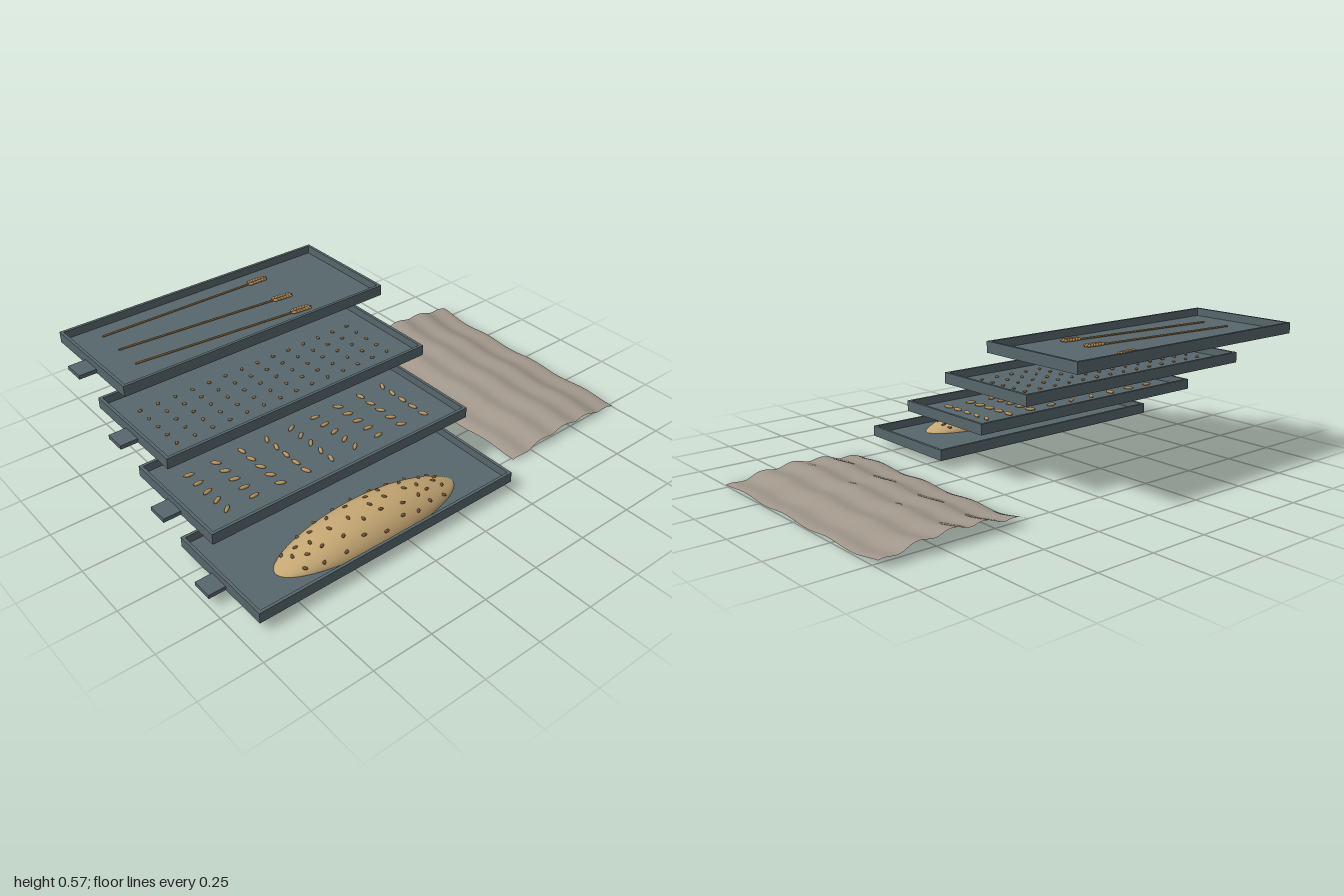
import * as THREE from 'three';

const mat = (name, color, side = THREE.FrontSide) => {
  const m = new THREE.MeshStandardMaterial({ color, side });
  m.name = name;
  return m;
};

export function createModel() {
  const root = new THREE.Group();
  root.name = 'stackedTrays';
  const slate = mat('slate', 0x57676b);
  const crust = mat('crust', 0xc4a672, THREE.DoubleSide);
  const seedBrown = mat('seedBrown', 0x6e5230);
  const grainTan = mat('grainTan', 0xb9935a);
  const straw = mat('straw', 0x8f6f3f);
  const linen = mat('linen', 0xa0968a, THREE.DoubleSide);

  const add = (parent, name, geo, m, x = 0, y = 0, z = 0) => {
    const mesh = new THREE.Mesh(geo, m);
    mesh.name = name;
    mesh.position.set(x, y, z);
    parent.add(mesh);
    return mesh;
  };
  let seed = 7;
  const rand = () => (seed = (seed * 16807) % 2147483647) / 2147483647;

  // Trays: floor, four walls and a pull tab
  const W = 1.18, D = 0.485, H = 0.044, T = 0.012;
  const trays = [];
  for (let i = 0; i < 4; i++) {
    const tray = new THREE.Group();
    tray.name = 'tray' + (i + 1);
    tray.position.set(-0.34, 0.046 + i * 0.163, 0.391 - i * 0.2605);
    add(tray, 'floor', new THREE.BoxGeometry(W, T, D), slate, 0, T / 2, 0);
    for (const s of [-1, 1]) {
      add(tray, 'longWall', new THREE.BoxGeometry(W, H, T), slate, 0, H / 2, s * (D - T) / 2);
      add(tray, 'endWall', new THREE.BoxGeometry(T, H, D - 2 * T), slate, s * (W - T) / 2, H / 2, 0);
    }
    add(tray, 'tab', new THREE.BoxGeometry(0.07, 0.016, 0.085), slate, -W / 2 - 0.035, 0.01, 0);
    root.add(tray);
    trays.push(tray);
  }

  // Loaf: domed grid with an elliptical outline
  const LX = 0.415, LZ = 0.125, LH = 0.093;
  const loafPoint = (u, v) => new THREE.Vector3(
    LX * u,
    LH * Math.pow(Math.max(0, 1 - u * u), 0.9) * Math.pow(Math.max(0, 1 - v * v), 0.6),
    LZ * v * Math.sqrt(Math.max(0, 1 - u * u)));
  const loaf = new THREE.Group();
  loaf.name = 'loaf';
  loaf.position.set(-0.005, T, 0.096);
  trays[0].add(loaf);
  const dome = new THREE.PlaneGeometry(2, 2, 48, 28);
  dome.rotateX(-Math.PI / 2);
  const dp = dome.attributes.position;
  for (let i = 0; i < dp.count; i++) {
    const p = loafPoint(Math.sin(dp.getX(i) * Math.PI / 2), Math.sin(dp.getZ(i) * Math.PI / 2));
    dp.setXYZ(i, p.x, p.y, p.z);
  }
  dome.computeVertexNormals();
  add(loaf, 'crust', dome, crust);

  // Seeds scattered over the loaf
  const crumb = new THREE.SphereGeometry(1, 8, 6);
  for (let r = 0; r < 5; r++) {
    for (let c = 0; c < 9; c++) {
      const u = -0.82 + c * 0.2 + (r % 2) * 0.07 + (rand() - 0.5) * 0.08;
      const v = -0.8 + r * 0.4 + (rand() - 0.5) * 0.16;
      const p = loafPoint(u, v);
      const s = add(loaf, 'loafSeed', crumb, seedBrown, p.x, p.y + 0.001, p.z);
      s.scale.set(0.011, 0.0055, 0.0065);
      s.rotation.y = rand() * Math.PI;
    }
  }

  // Large grains laid out in rows on the second tray
  for (let r = 0; r < 5; r++) {
    for (let c = 0; c < 9; c++) {
      const g = add(trays[1], 'grain', crumb, grainTan, -0.46 + c * 0.115, T + 0.006, -0.112 + r * 0.0615);
      g.scale.set(0.022, 0.007, 0.008);
      g.rotation.y = 0.25 - c * 0.62 + (r - 2) * 0.22;
    }
  }

  // Small seeds laid out in rows on the third tray
  for (let r = 0; r < 5; r++) {
    for (let c = 0; c < 14; c++) {
      const g = add(trays[2], 'smallSeed', crumb, straw, -0.495 + c * 0.075, T + 0.004, -0.107 + r * 0.064);
      g.scale.set(0.009, 0.005, 0.006);
      g.rotation.y = c * 0.7 + r;
    }
  }

  // Stalks with seeded heads on the top tray
  const stalks = [[-0.154, -0.15], [-0.03, 0.032], [0.095, 0.16]];
  for (const [z0, z1] of stalks) {
    const stalk = new THREE.Group();
    stalk.name = 'stalk';
    const dx = 0.75;
    stalk.position.set(-0.46, T + 0.004, z0);
    stalk.rotation.y = -Math.atan2(z1 - z0, dx);
    const stem = new THREE.CylinderGeometry(0.004, 0.004, 0.71, 6);
    stem.rotateZ(Math.PI / 2);
    add(stalk, 'stem', stem, straw, 0.355, 0, 0);
    for (let i = 0; i < 6; i++) {
      for (const s of [-1, 1]) {
        const k = add(stalk, 'kernel', crumb, grainTan, 0.675 + i * 0.013, 0.003, s * 0.009);
        k.scale.set(0.012, 0.0065, 0.006);
        k.rotation.y = -s * 0.5;
      }
    }
    add(stalk, 'kernel', crumb, grainTan, 0.745, 0.003, 0).scale.set(0.012, 0.006, 0.006);
    trays[3].add(stalk);
  }

  // Rumpled cloth lying beside the trays
  const cloth = new THREE.PlaneGeometry(0.605, 1.055, 48, 60);
  cloth.rotateX(-Math.PI / 2);
  const cp = cloth.attributes.position;
  for (let i = 0; i < cp.count; i++) {
    const x = cp.getX(i), z = cp.getZ(i);
    const hump = 0.036 * Math.cos(x / 0.605 * Math.PI);
    const ripple = 0.006 * Math.sin(x * 2 * Math.PI / 0.14 + 1.2);
    const wave = 0.005 * Math.cos((z - 0.07) * 2 * Math.PI / 0.3);
    const lift = 0.014 * Math.pow(Math.max(0, -z - 0.25) / 0.28, 2);
    cp.setXYZ(i, x, 0.013 + hump + ripple + wave + lift,
      z + 0.005 * Math.sin(x * 2 * Math.PI / 0.14) * Math.abs(z) / 0.53);
  }
  cloth.computeVertexNormals();
  add(root, 'cloth', cloth, linen, 0.6975, 0, -0.012);

  return root;
}
